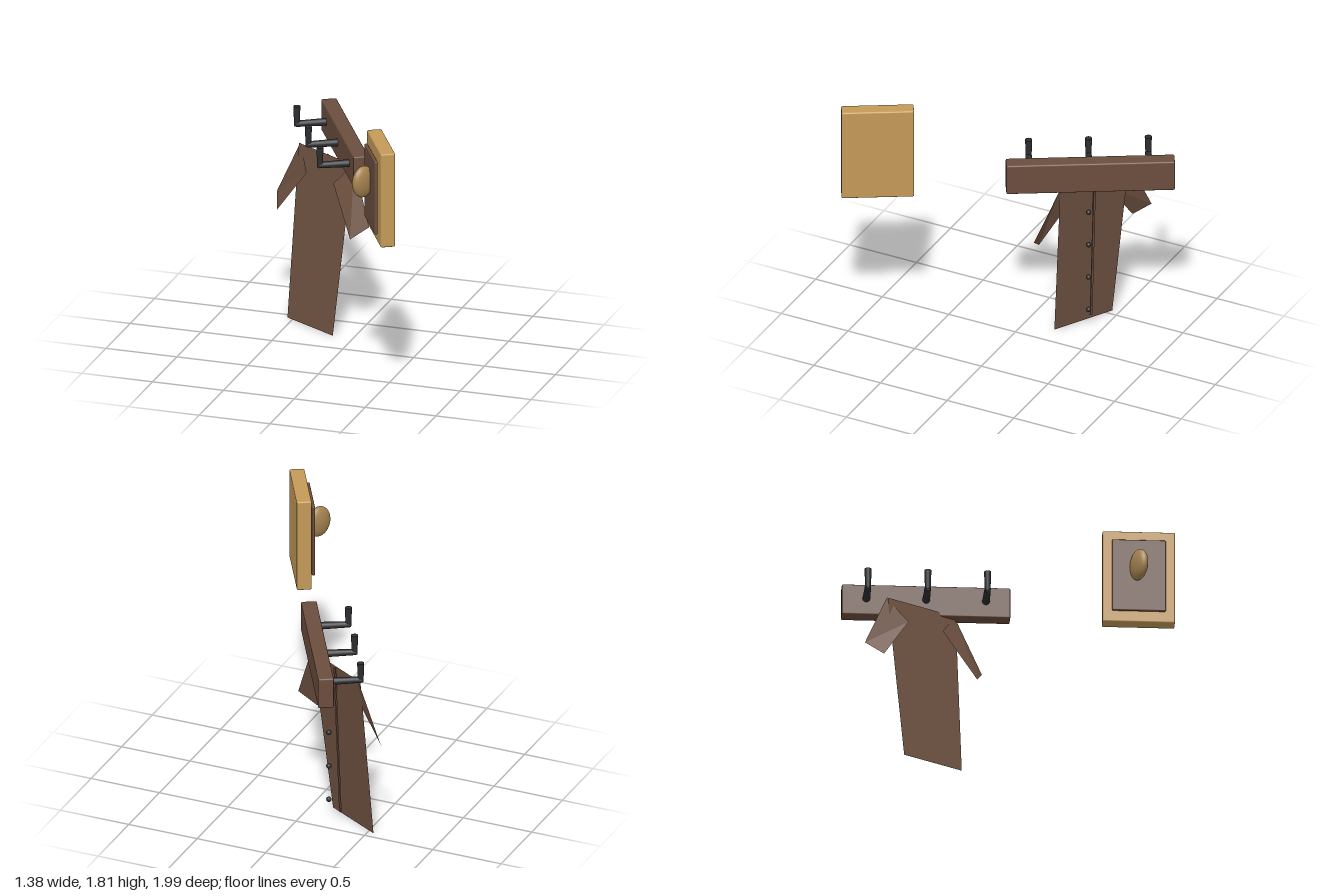
import * as THREE from 'three';
import { RoundedBoxGeometry } from 'three/addons/geometries/RoundedBoxGeometry.js';

function mat(name, color, side = THREE.FrontSide) {
  const m = new THREE.MeshStandardMaterial({ color, side });
  m.name = name;
  return m;
}

function add(parent, name, geometry, material, x = 0, y = 0, z = 0) {
  const mesh = new THREE.Mesh(geometry, material);
  mesh.name = name;
  mesh.position.set(x, y, z);
  parent.add(mesh);
  return mesh;
}

// Flat four-cornered cloth panel
function panel(a, b, c, d) {
  const g = new THREE.BufferGeometry();
  g.setAttribute('position', new THREE.Float32BufferAttribute([a, b, c, a, c, d].flat(), 3));
  g.computeVertexNormals();
  return g;
}

function placedGroup(parent, name, x, y, z, turn) {
  const g = new THREE.Group();
  g.name = name;
  g.position.set(x, y, z);
  g.rotation.y = turn;
  parent.add(g);
  return g;
}

export function createModel() {
  const root = new THREE.Group();
  root.name = 'coatRackAndDoorKnob';
  const wood = mat('dark wood', 0x6b4d3e);
  const cloth = mat('brown cloth', 0x6e5141, THREE.DoubleSide);
  const iron = mat('black iron', 0x2c2e31);
  const oak = mat('golden oak', 0xc49a58);
  const brass = mat('dull brass', 0xa5834f);

  // Wall board with three hooks
  const rack = placedGroup(root, 'rack', -0.15, 1.28, -0.485, -Math.PI / 3);
  add(rack, 'rackBoard', new RoundedBoxGeometry(1.128, 0.22, 0.105, 2, 0.01), wood);
  for (const x of [-0.4, 0, 0.4]) {
    const arm = add(rack, 'hookArm', new THREE.CylinderGeometry(0.021, 0.026, 0.21, 16), iron, x, 0.007, 0.15);
    arm.rotation.x = Math.PI / 2;
    add(rack, 'hookPost', new THREE.CylinderGeometry(0.024, 0.019, 0.14, 16), iron, x, 0.063, 0.249);
  }

  // Coat: leaning flat body with two sleeves
  const coat = placedGroup(root, 'coat', -0.344, 0, -0.333, -Math.PI / 6);
  const top = 1.2, lean = -0.138;
  add(coat, 'coatBody', panel([-0.23, 0, 0], [0.23, 0, 0], [0.272, top, lean], [-0.272, top, lean]), cloth);
  for (const s of [-1, 1]) {
    const corners = [
      [s * 0.272, top, -0.152],
      [s * 0.136, 1.038, -0.087],
      [s * 0.372, 0.72, -0.029],
      [s * 0.467, 0.8125, -0.116],
    ];
    if (s < 0) corners.reverse();
    add(coat, s > 0 ? 'leftSleeve' : 'rightSleeve', panel(...corners), cloth);
  }

  // Closing strip and buttons on the far side
  const strip = add(coat, 'coatStrip', new THREE.BoxGeometry(0.015, 1.1, 0.01), wood, 0.005, 0.645, -0.126);
  strip.rotation.x = -0.042;
  for (let i = 0; i < 4; i++) {
    add(coat, 'coatButton', new THREE.SphereGeometry(0.018, 14, 10), iron, 0.06, 0.182 + i * 0.252, -0.158);
  }

  // Door piece with backplate
  const door = placedGroup(root, 'doorPiece', 0.532, 1.482, 0.762, -Math.PI / 3);
  add(door, 'doorPanel', new RoundedBoxGeometry(0.485, 0.665, 0.1, 2, 0.01), oak);
  add(door, 'knobPlate', new RoundedBoxGeometry(0.36, 0.52, 0.022, 2, 0.008), wood, 0, 0, 0.068);

  // Oval knob
  const knob = add(root, 'doorKnob', new THREE.SphereGeometry(1, 32, 20), brass, 0.425, 1.538, 0.82);
  knob.scale.set(0.045, 0.11, 0.09);
  knob.rotation.y = -Math.PI / 6;

  return root;
}
